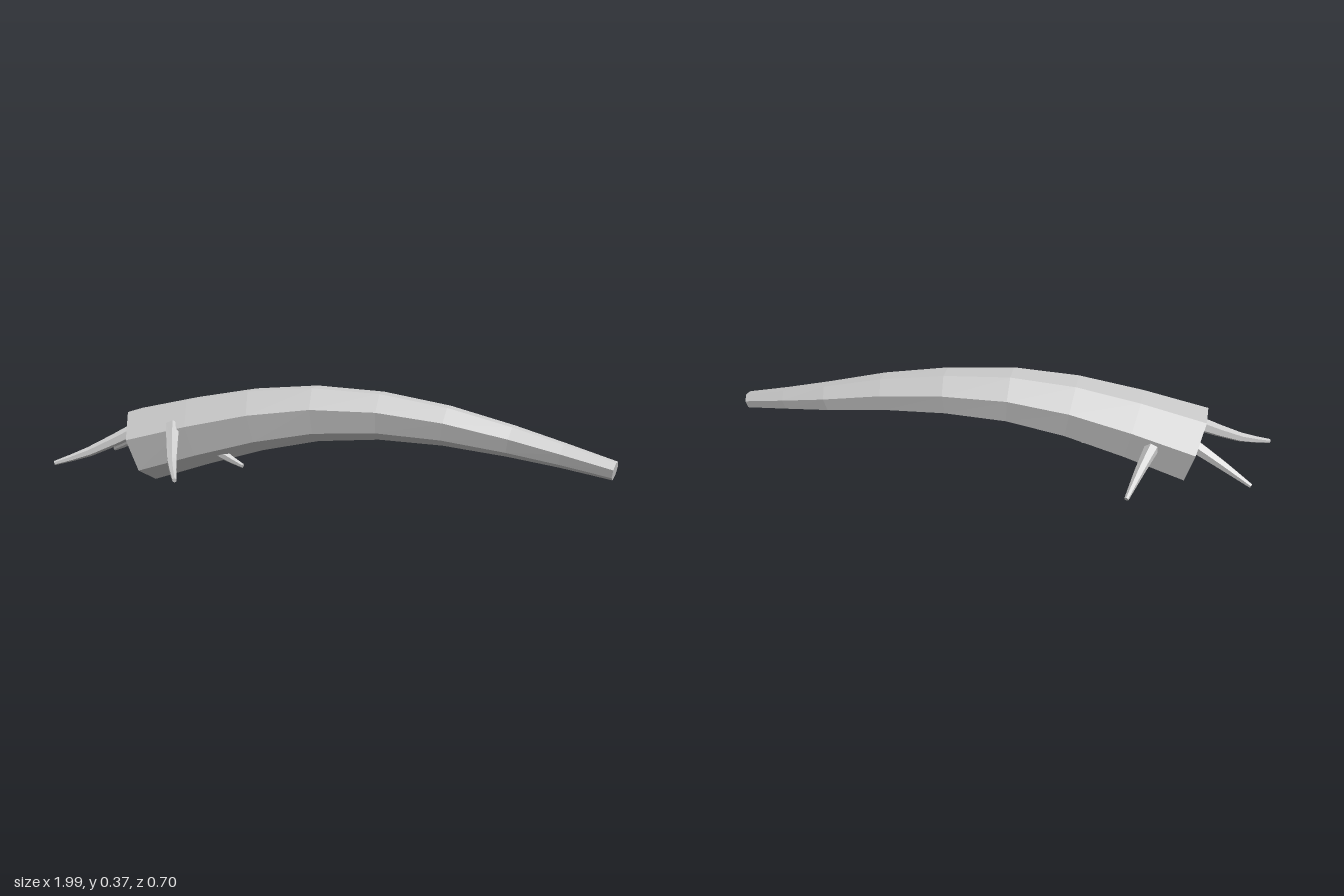
import * as THREE from 'three';

const V = (x, y, z) => new THREE.Vector3(x, y, z);

// Closed faceted tube through rings of [x, y, z, radius], one vertex pointing down
function taperedTube(rings, sides, startDir) {
  const centres = rings.map(r => V(r[0], r[1], r[2]));
  const last = rings.length - 1;
  const pos = [], index = [];
  centres.forEach((c, k) => {
    const t = k === 0 && startDir
      ? startDir.clone().normalize()
      : centres[Math.min(k + 1, last)].clone().sub(centres[Math.max(k - 1, 0)]).normalize();
    const up = V(0, 1, 0).addScaledVector(t, -t.y).normalize();
    const side = t.clone().cross(up);
    for (let i = 0; i < sides; i++) {
      const a = Math.PI + (i / sides) * Math.PI * 2;
      const p = c.clone()
        .addScaledVector(up, Math.cos(a) * rings[k][3])
        .addScaledVector(side, Math.sin(a) * rings[k][3]);
      pos.push(p.x, p.y, p.z);
    }
  });
  const start = rings.length * sides, end = start + 1;
  for (const c of [centres[0], centres[last]]) pos.push(c.x, c.y, c.z);
  for (let i = 0; i < sides; i++) {
    const j = (i + 1) % sides;
    for (let k = 0; k < last; k++) {
      const a = k * sides + i, b = k * sides + j;
      index.push(a, b, a + sides, b, b + sides, a + sides);
    }
    index.push(start, j, i, end, last * sides + i, last * sides + j);
  }
  const g = new THREE.BufferGeometry();
  g.setAttribute('position', new THREE.Float32BufferAttribute(pos, 3));
  g.setIndex(index);
  const flat = g.toNonIndexed();
  flat.computeVertexNormals();
  return flat;
}

export function createModel() {
  const group = new THREE.Group();
  const material = new THREE.MeshStandardMaterial({ color: 0xcccccc, flatShading: true });
  const add = (name, geometry) => {
    const mesh = new THREE.Mesh(geometry, material);
    mesh.name = name;
    group.add(mesh);
  };

  // Arched, tapering trunk
  add('trunk', taperedTube([
    [-0.69, 0.139, -0.065, 0.142],
    [-0.47, 0.198, -0.025, 0.13],
    [-0.25, 0.248, 0.01, 0.117],
    [-0.03, 0.277, 0.038, 0.103],
    [0.2, 0.276, 0.068, 0.088],
    [0.43, 0.25, 0.11, 0.073],
    [0.65, 0.207, 0.156, 0.057],
    [0.82, 0.17, 0.21, 0.044],
    [0.985, 0.132, 0.272, 0.033],
  ], 7, V(1, 0.3, 0.18)));

  // Five roots spreading from the thick end: start, bend, tip
  const roots = [
    [V(-0.69, 0.205, -0.01), V(-0.87, 0.12, 0.04), V(-0.99, 0.082, 0.083)],
    [V(-0.65, 0.19, -0.125), V(-0.77, 0.13, -0.19), V(-0.865, 0.082, -0.25)],
    [V(-0.54, 0.185, -0.13), V(-0.48, 0.13, -0.245), V(-0.43, 0.082, -0.35)],
    [V(-0.47, 0.18, 0.0), V(-0.37, 0.115, 0.03), V(-0.295, 0.082, 0.06)],
    [V(-0.55, 0.225, 0.06), V(-0.52, 0.12, 0.2), V(-0.475, 0.082, 0.345)],
  ];
  roots.forEach((points, n) => {
    const curve = new THREE.CatmullRomCurve3(points);
    const rings = curve.getPoints(4).map((p, i) => [p.x, p.y, p.z, 0.028 - 0.005 * i]);
    add('root' + (n + 1), taperedTube(rings, 6));
  });

  return group;
}
